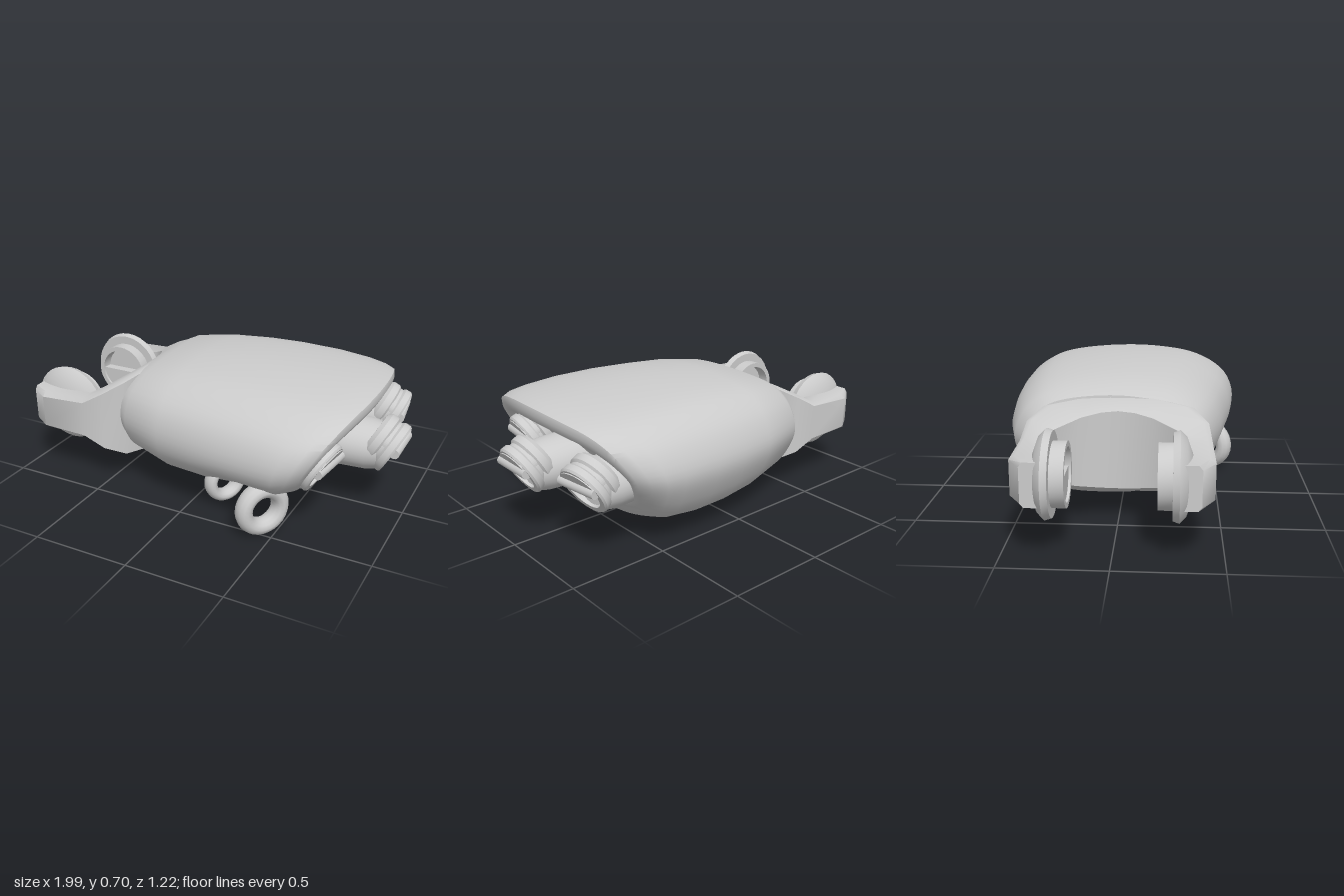
import * as THREE from 'three';
import { toCreasedNormals } from 'three/addons/utils/BufferGeometryUtils.js';

const grey = new THREE.MeshStandardMaterial({ color: 0xcccccc });

function part(parent, name, geometry, x = 0, y = 0, z = 0) {
  const mesh = new THREE.Mesh(geometry, grey);
  mesh.name = name;
  mesh.position.set(x, y, z);
  parent.add(mesh);
  return mesh;
}

// Skin a list of closed rings of Vector3, with a fan cap at both ends
function loft(rings, crease) {
  const n = rings[0].length, pos = [], idx = [];
  rings.forEach(r => r.forEach(p => pos.push(p.x, p.y, p.z)));
  for (let i = 0; i < rings.length - 1; i++) {
    for (let j = 0; j < n; j++) {
      const k = (j + 1) % n;
      const a = i * n + j, b = i * n + k, c = a + n, d = b + n;
      idx.push(a, b, c, b, d, c);
    }
  }
  [0, rings.length - 1].forEach((ri, end) => {
    const centre = rings[ri].reduce((s, p) => s.add(p), new THREE.Vector3()).divideScalar(n);
    const ci = pos.length / 3;
    pos.push(centre.x, centre.y, centre.z);
    for (let j = 0; j < n; j++) {
      const a = ri * n + j, b = ri * n + (j + 1) % n;
      if (end) idx.push(a, b, ci); else idx.push(b, a, ci);
    }
  });
  const g = new THREE.BufferGeometry();
  g.setAttribute('position', new THREE.Float32BufferAttribute(pos, 3));
  g.setIndex(idx);
  return toCreasedNormals(g, crease);
}

const lathe = (pts, segments = 32) => toCreasedNormals(
  new THREE.LatheGeometry(pts.map(([r, h]) => new THREE.Vector2(r, h)), segments), 0.6);

// Solid half disc, round side up, extruded along z
function halfDisc(radius, depth) {
  const s = new THREE.Shape();
  s.absarc(0, 0, radius, 0, Math.PI);
  s.closePath();
  return new THREE.ExtrudeGeometry(s, { depth, bevelEnabled: false, curveSegments: 16 });
}

// Shell: one lopsided outline (z, y) fitted to a box at each station
function shellGeometry() {
  const outline = [
    [-0.39, 0.66], [-0.15, 0.695], [0.15, 0.695], [0.4, 0.65], [0.56, 0.545], [0.61, 0.4],
    [0.57, 0.26], [0.45, 0.155], [0.2, 0.05], [-0.1, 0.035], [-0.3, 0.06], [-0.47, 0.13],
    [-0.57, 0.27], [-0.608, 0.4], [-0.565, 0.53], [-0.49, 0.61]];
  const curve = new THREE.CatmullRomCurve3(
    outline.map(([z, y]) => new THREE.Vector3(0, y, z)), true);
  const unit = curve.getPoints(64).slice(0, 64)
    .map(p => [(p.z + 0.608) / 1.218, (p.y - 0.035) / 0.66]);
  // x, zMin, zMax, yMin, yMax, slant
  const stations = [
    [-0.37, -0.46, 0.38, 0.14, 0.615, 0],
    [-0.3, -0.515, 0.43, 0.1, 0.645, 0],
    [-0.1, -0.575, 0.505, 0.055, 0.675, 0],
    [0.1, -0.6, 0.54, 0.038, 0.688, 0],
    [0.28, -0.61, 0.575, 0.038, 0.692, 0.02],
    [0.5, -0.61, 0.6, 0.06, 0.686, 0.1],
    [0.7, -0.6, 0.608, 0.09, 0.67, 0.27],
    [0.79, -0.575, 0.595, 0.13, 0.655, 0.41],
    [0.84, -0.54, 0.56, 0.16, 0.64, 0.48],
    [0.852, -0.515, 0.53, 0.18, 0.61, 0.5],
    [0.84, -0.49, 0.51, 0.2, 0.565, 0.5],
    [0.76, -0.46, 0.47, 0.215, 0.53, 0.42],
    [0.73, -0.4, 0.41, 0.25, 0.5, 0.38]];
  const rings = stations.map(([x, z0, z1, y0, y1, slant], i) => unit.map(([u, v]) => {
    const y = y0 + v * (y1 - y0);
    let z = z0 + u * (z1 - z0);
    const px = x - 1.75 * slant * Math.max(0, 0.65 - y) ** 1.6
      - 0.28 * z * z * (i < 2 || i > 5 ? 1 : 0.3);
    // shallow hollow where the loops are fixed
    if (i < 9) {
      z -= 0.12 * THREE.MathUtils.smoothstep(z, 0.05, 0.4)
        * Math.exp(-(((px - 0.33) / 0.2) ** 2) - ((y - 0.16) / 0.1) ** 2);
    }
    return new THREE.Vector3(px, y, z);
  }));
  return loft(rings, 0.8);
}

// Fork: bevelled sections following a C, mirrored in z, flaring towards the shell
function yokeGeometry() {
  // inner x, inner z, outer x, outer z
  const half = [
    [-0.945, 0.31, -0.945, 0.39],
    [-0.85, 0.31, -0.85, 0.45],
    [-0.63, 0.33, -0.6, 0.445],
    [-0.56, 0.29, -0.49, 0.43],
    [-0.49, 0.17, -0.4, 0.36],
    [-0.46, 0.08, -0.35, 0.18]];
  const mirrored = half.map(([a, b, c, d]) => [a, -b, c, -d]).reverse();
  const top = x => 0.463 + 0.58 * Math.max(0, x + 0.62);
  const bottom = x => 0.258 - 0.5 * Math.max(0, x + 0.62);
  return loft([...half, [-0.45, 0, -0.33, 0], ...mirrored].map(([ix, iz, ox, oz]) => {
    const bx = ox + (ix - ox) * 0.2, bz = oz + (iz - oz) * 0.2;
    return [
      new THREE.Vector3(ix, top(ix), iz), new THREE.Vector3(bx, top(bx), bz),
      new THREE.Vector3(ox, top(ox) - 0.02, oz), new THREE.Vector3(ox, bottom(ox) + 0.02, oz),
      new THREE.Vector3(bx, bottom(bx), bz), new THREE.Vector3(ix, bottom(ix), iz)];
  }), 0.9);
}

// Domed pivot disc with a hollow boss facing inwards
function pivot(side) {
  const g = new THREE.Group();
  g.name = side > 0 ? 'leftPivot' : 'rightPivot';
  const disc = lathe([[0, 0.26], [0.12, 0.26], [0.125, 0.2], [0.15, 0.2], [0.15, 0.265],
    [0.195, 0.265], [0.205, 0.295], [0.175, 0.325], [0.1, 0.352], [0, 0.362]]);
  part(g, 'pivotDisc', disc.rotateX(Math.PI / 2));
  part(g, 'pivotHalfPlate', halfDisc(0.125, 0.05).rotateZ(Math.PI), 0, 0, 0.212);
  g.position.set(-0.79, 0.36, 0);
  if (side < 0) g.rotation.y = Math.PI;
  return g;
}

// Knuckle socket: straight housing with a cup tipped downwards, half plate and cross pin
function socket(x, y, z, yaw) {
  const g = new THREE.Group();
  g.name = 'socket';
  const housing = lathe([[0.15, -0.32], [0.14, -0.12], [0.125, -0.06], [0, -0.06]]);
  part(g, 'socketHousing', housing.rotateZ(-Math.PI / 2).scale(1, 0.88, 1), 0, 0.005, 0);
  const cup = new THREE.Group();
  cup.name = 'tippedCup';
  const bowl = lathe([[0, -0.13], [0.115, -0.13], [0.133, -0.11], [0.133, -0.075], [0.122, -0.065],
    [0.122, -0.05], [0.133, -0.04], [0.135, -0.01], [0.128, 0], [0.1, 0], [0.095, -0.1], [0, -0.1]]);
  part(cup, 'socketCup', bowl.rotateZ(-Math.PI / 2));
  const plate = halfDisc(0.115, 0.1).scale(1, 0.7, 1).rotateY(Math.PI / 2);
  part(cup, 'socketHalfPlate', plate, -0.095, 0.035, 0);
  part(cup, 'socketPin', new THREE.CylinderGeometry(0.024, 0.024, 0.23, 16).rotateX(Math.PI / 2),
    0.005, 0.04, 0);
  cup.rotation.z = -0.5;
  g.add(cup);
  g.position.set(x, y, z);
  g.rotation.y = yaw;
  return g;
}

// Thick loop, wider along its axis than across the tube
function loop(parent, name, radius, tube, width, turn, x, y, z) {
  const geometry = new THREE.TorusGeometry(radius, tube, 12, 28).scale(1, 1, width);
  part(parent, name, geometry, x, y, z).rotation.y = turn;
}

export function createModel() {
  const model = new THREE.Group();
  model.name = 'mechanicalPalm';
  part(model, 'shell', shellGeometry());
  part(model, 'yoke', yokeGeometry());
  model.add(pivot(1), pivot(-1));

  // Three knuckle sockets in the slanted recess
  [[0.7, 0.355, 0.365, -0.12], [0.938, 0.355, 0.02, 0], [0.84, 0.36, -0.36, 0.12]]
    .forEach(p => model.add(socket(...p)));

  // Two loops hanging under the front edge
  loop(model, 'largeLoop', 0.099, 0.041, 1.2, 0.95, 0.44, 0.14, 0.478);
  loop(model, 'smallLoop', 0.085, 0.03, 1.4, 1.05, 0.15, 0.125, 0.295);
  return model;
}
